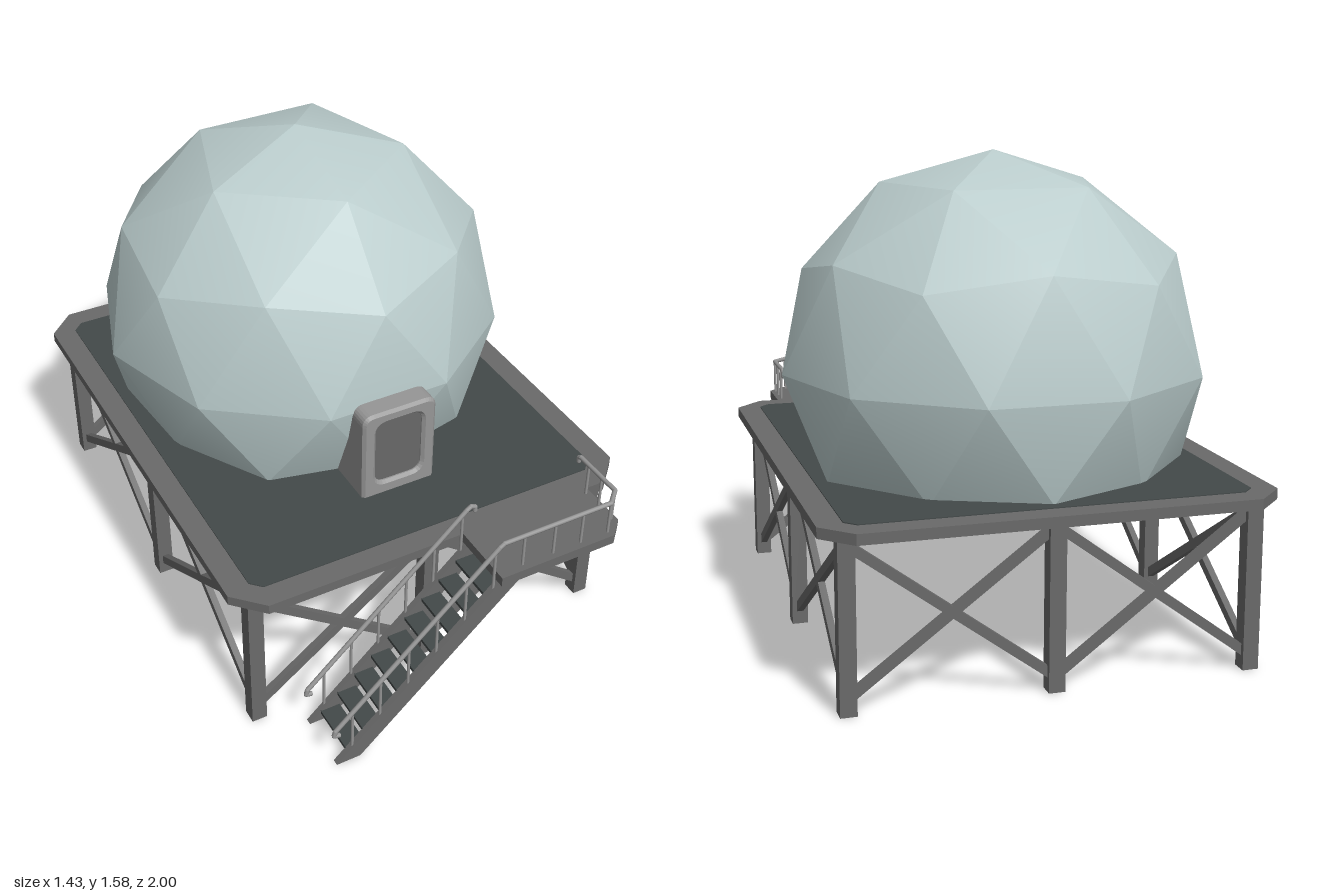
import * as THREE from 'three';

const mat = (name, color) => new THREE.MeshStandardMaterial({ name, color });

export function createModel() {
  const model = new THREE.Group();
  model.name = 'domeStation';
  const shell = mat('paleShell', 0xbacccc);
  const steel = mat('darkSteel', 0x6a6a6a);
  const floorMat = mat('slateFloor', 0x434949);
  const light = mat('lightMetal', 0x969696);
  const panelMat = mat('doorGrey', 0x686868);

  const V = (x, y, z) => new THREE.Vector3(x, y, z);
  const UP = V(0, 1, 0);
  const group = (name) => {
    const g = new THREE.Group();
    g.name = name;
    model.add(g);
    return g;
  };
  const add = (parent, name, geometry, material) => {
    const m = new THREE.Mesh(geometry, material);
    m.name = name;
    parent.add(m);
    return m;
  };

  // Straight member between two points: square bar or round rod
  const between = (parent, name, geometry, material, a, b) => {
    const m = add(parent, name, geometry, material);
    m.position.addVectors(a, b).multiplyScalar(0.5);
    m.quaternion.setFromUnitVectors(UP, b.clone().sub(a).normalize());
    return m;
  };
  const bar = (parent, name, a, b, w, d) =>
    between(parent, name, new THREE.BoxGeometry(w, a.distanceTo(b), d), steel, a, b);
  const rod = (parent, name, a, b, r) =>
    between(parent, name, new THREE.CylinderGeometry(r, r, a.distanceTo(b), 8), light, a, b);

  // Horizontal plate from an [x, z] outline, with its upper face at top
  const plate = (name, points, top, depth, material) => {
    const shape = new THREE.Shape(points.map(([x, z]) => new THREE.Vector2(x, z)));
    const geo = new THREE.ExtrudeGeometry(shape, { depth, bevelEnabled: false });
    geo.rotateX(Math.PI / 2);
    geo.translate(0, top, 0);
    return add(model, name, geo, material);
  };
  const octagon = (x, z0, z1, c) => [
    [-x + c, z0], [x - c, z0], [x, z0 + c], [x, z1 - c],
    [x - c, z1], [-x + c, z1], [-x, z1 - c], [-x, z0 + c],
  ];

  // Deck, walking surface and stair landing
  const deckY = 0.572, under = 0.538;
  plate('deck', octagon(0.715, -1, 0.77, 0.095), deckY, deckY - under, steel);
  plate('deckFloor', octagon(0.635, -0.92, 0.69, 0.035), deckY + 0.003, 0.004, floorMat);
  plate('landing', [[0.07, 0.765], [0.55, 0.765], [0.55, 0.945], [0.495, 1], [0.07, 1]],
    deckY, deckY - under, steel);

  // Faceted dome, cut off inside the deck
  const R = 0.697;
  const ico = new THREE.IcosahedronGeometry(R, 1);
  ico.rotateZ(Math.atan(2 / (1 + Math.sqrt(5))));
  ico.rotateY(Math.PI / 2);
  const src = ico.attributes.position;
  const pos = [], nor = [];
  for (let i = 0; i < src.count; i += 3) {
    const tri = [0, 1, 2].map((k) => new THREE.Vector3().fromBufferAttribute(src, i + k));
    if (Math.min(...tri.map((v) => v.y)) < -0.45) continue;
    for (const v of tri) {
      if (v.y < -0.33) {
        v.x *= 0.98;
        v.z *= 0.98;
        v.y = -0.33;
      }
    }
    const face = new THREE.Triangle(...tri).getNormal(V(0, 0, 0));
    for (const v of tri) {
      // Slightly softened facets
      const n = face.clone().lerp(v.clone().normalize(), 0.3).normalize();
      pos.push(v.x, v.y, v.z);
      nor.push(n.x, n.y, n.z);
    }
  }
  const domeGeo = new THREE.BufferGeometry();
  domeGeo.setAttribute('position', new THREE.Float32BufferAttribute(pos, 3));
  domeGeo.setAttribute('normal', new THREE.Float32BufferAttribute(nor, 3));
  add(model, 'dome', domeGeo, shell).position.set(0, 0.88, -0.26);

  // Doorway: rounded frame with a recessed panel
  const roundRect = (path, x, y0, y1, r) => {
    path.moveTo(-x + r, y0);
    path.lineTo(x - r, y0);
    path.quadraticCurveTo(x, y0, x, y0 + r);
    path.lineTo(x, y1 - r);
    path.quadraticCurveTo(x, y1, x - r, y1);
    path.lineTo(-x + r, y1);
    path.quadraticCurveTo(-x, y1, -x, y1 - r);
    path.lineTo(-x, y0 + r);
    path.quadraticCurveTo(-x, y0, -x + r, y0);
    return path;
  };
  const door = group('doorway');
  const arch = new THREE.Shape();
  arch.moveTo(-0.135, 0.56);
  arch.lineTo(0.135, 0.56);
  arch.lineTo(0.135, 0.865);
  arch.quadraticCurveTo(0.135, 0.904, 0.095, 0.904);
  arch.lineTo(-0.095, 0.904);
  arch.quadraticCurveTo(-0.135, 0.904, -0.135, 0.865);
  arch.closePath();
  arch.holes.push(roundRect(new THREE.Path(), 0.086, 0.617, 0.86, 0.04));
  const archGeo = new THREE.ExtrudeGeometry(arch, {
    depth: 0.235, bevelThickness: 0.01, bevelSize: 0.01, bevelOffset: -0.01,
    bevelSegments: 1, curveSegments: 6,
  });
  archGeo.translate(0, 0, 0.23);
  add(door, 'doorFrame', archGeo, light);
  const panel = new THREE.ShapeGeometry(roundRect(new THREE.Shape(), 0.1, 0.605, 0.875, 0.04), 6);
  panel.translate(0, 0, 0.46);
  add(door, 'doorPanel', panel, panelMat);

  // Legs around the edge, with crossed braces in every bay
  const legs = group('legs');
  const braces = group('braces');
  const xs = [-0.635, 0, 0.635], zs = [0.675, -0.11, -0.9];
  for (const x of xs) {
    for (const z of zs) {
      if (x === 0 && z === -0.11) continue;
      bar(legs, 'leg', V(x, 0, z), V(x, under, z), 0.052, 0.052);
    }
  }
  const cross = (a, b, w, d) => {
    for (const [lo, hi] of [[0.045, 0.515], [0.515, 0.045]]) {
      bar(braces, 'brace', V(a.x, lo, a.z), V(b.x, hi, b.z), w, d);
    }
  };
  for (let i = 0; i < 2; i++) {
    for (const z of [zs[0], zs[2]]) cross(V(xs[i], 0, z), V(xs[i + 1], 0, z), 0.03, 0.022);
    for (const x of [xs[0], xs[2]]) cross(V(x, 0, zs[i]), V(x, 0, zs[i + 1]), 0.022, 0.03);
  }

  // Stair stringers and treads
  const stairs = group('stairs');
  const side = new THREE.Shape([[-0.5, 0], [-0.415, 0], [0.165, 0.54], [0.075, 0.54]]
    .map(([x, y]) => new THREE.Vector2(x, y)));
  for (const z of [0.775, 0.963]) {
    const g = new THREE.ExtrudeGeometry(side, { depth: 0.022, bevelEnabled: false });
    g.translate(0, 0, z);
    add(stairs, 'stringer', g, steel);
  }
  for (let i = 0; i < 9; i++) {
    add(stairs, 'tread', new THREE.BoxGeometry(0.068, 0.012, 0.172), floorMat)
      .position.set(-0.425 + i * 0.061, 0.035 + i * 0.057, 0.88);
  }

  // Handrails on both sides of the stair and round the landing
  const rails = group('handrails');
  const railY = 0.692, zIn = 0.782, zOut = 0.975;
  const rail = (points) => {
    for (let i = 1; i < points.length; i++) {
      rod(rails, 'handrail', points[i - 1], points[i], 0.008);
      add(rails, 'railJoint', new THREE.SphereGeometry(0.008, 8, 6), light).position.copy(points[i]);
    }
  };
  const start = (z) => [V(-0.485, 0.125, z), V(-0.505, 0.13, z), V(-0.5, 0.148, z), V(0.07, 0.682, z)];
  rail([...start(zIn), V(0.085, railY, zIn), V(0.1, 0.685, zIn), V(0.1, 0.67, zIn)]);
  rail([...start(zOut), V(0.085, railY, zOut), V(0.485, railY, zOut), V(0.532, railY, 0.93),
    V(0.532, railY, 0.745), V(0.532, 0.686, 0.735), V(0.532, 0.67, 0.735)]);
  for (const z of [zIn, zOut]) {
    for (let i = 0; i < 6; i++) {
      const x = -0.44 + i * 0.099;
      rod(rails, 'stairPost', V(x, (x + 0.5) * 0.935 - 0.02, z), V(x, 0.148 + (x + 0.5) * 0.937, z), 0.005);
    }
  }
  const posts = [[0.16, zOut], [0.275, zOut], [0.38, zOut], [0.485, zOut],
    [0.532, 0.93], [0.532, 0.86], [0.532, 0.79]];
  for (const [x, z] of posts) rod(rails, 'landingPost', V(x, deckY - 0.01, z), V(x, railY, z), 0.005);

  return model;
}
